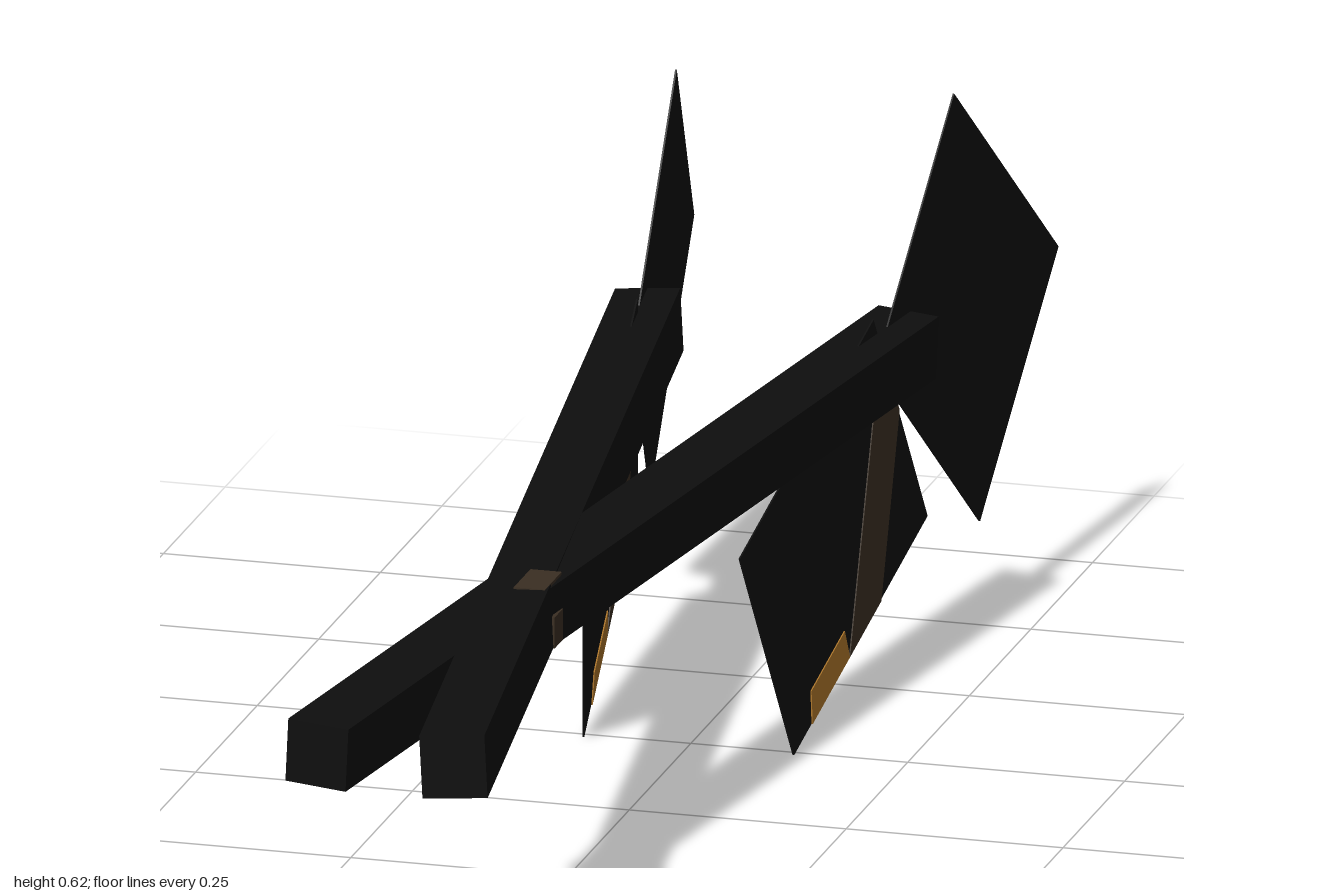
import * as THREE from 'three';

const charcoal = new THREE.MeshStandardMaterial({ color: 0x0e0e0e, name: 'charcoal' });
const brown = new THREE.MeshStandardMaterial({ color: 0x3a2e22, name: 'brown' });
const amber = new THREE.MeshStandardMaterial({ color: 0xa87228, name: 'amber' });

// Thin sheet outlined in (u, v) on the parallelogram origin + u*U + v*V
function sheet(name, material, corners, outline, thickness, side) {
  const [o, a, b] = corners.map(([x, y, z]) => new THREE.Vector3(x * side, y, z));
  const U = a.sub(o), V = b.sub(o);
  const N = new THREE.Vector3().crossVectors(U, V).setLength(thickness);
  const shape = new THREE.Shape(outline.map(([u, v]) => new THREE.Vector2(u, v)));
  const geo = new THREE.ExtrudeGeometry(shape, { depth: 1, bevelEnabled: false });
  geo.translate(0, 0, -0.5);
  geo.applyMatrix4(new THREE.Matrix4().makeBasis(U, V, N).setPosition(o));
  geo.computeVertexNormals();
  const mesh = new THREE.Mesh(geo, material);
  mesh.name = name;
  return mesh;
}

function box(name, material, size, position) {
  const mesh = new THREE.Mesh(new THREE.BoxGeometry(...size), material);
  mesh.name = name;
  mesh.position.set(...position);
  return mesh;
}

export function createModel() {
  const model = new THREE.Group();
  model.name = 'crossedBars';

  const square = [[0, 0], [1, 0], [1, 1], [0, 1]];
  // Corners: start, end of U, end of V
  const rear = [[0.14, 0.37, -0.505], [0.16, 0.615, -0.753], [0.19, 0.12, -0.752]];
  const lower = [[0.121, 0, -0.24], [0.167, 0.165, -0.62], [0.09, 0.26, -0.13]];
  const stripe = [[0.41, 0], [0.645, 0], [1, 0.54], [1, 0.88]];
  const tip = [[0.13, 0], [0.41, 0], [0.42, 0.12], [0.17, 0.12]];

  for (const side of [1, -1]) {
    // Long bar, crossing its mirror twin towards the front
    const bar = box('bar', charcoal, [0.073, 0.073, 1.612], [-side * 0.035, 0.3675, 0.193]);
    bar.rotation.set(0.004, -side * 0.1415, -side * 0.05, 'YXZ');
    if (side > 0) bar.rotation.y = 0.1415 * -1;
    bar.position.x = side * 0.035;
    model.add(bar);

    // Rear and lower plates
    model.add(sheet('rearPlate', charcoal, rear, square, 0.002, side));
    model.add(sheet('lowerPlate', charcoal, lower, square, 0.002, side));
    model.add(sheet('lowerPlateStripe', brown, lower, stripe, 0.005, side));
    model.add(sheet('lowerPlateTip', amber, lower, tip, 0.005, side));

    // Patch on the side of the crossing
    model.add(box('sidePatch', brown, [0.006, 0.036, 0.035], [side * 0.0385, 0.349, 0.432]));
  }

  // Patches above and below the crossing
  model.add(box('topPatch', brown, [0.036, 0.004, 0.068], [0.018, 0.403, 0.435]));
  model.add(box('bottomPatch', brown, [0.036, 0.004, 0.068], [0.018, 0.33, 0.435]));
  return model;
}
